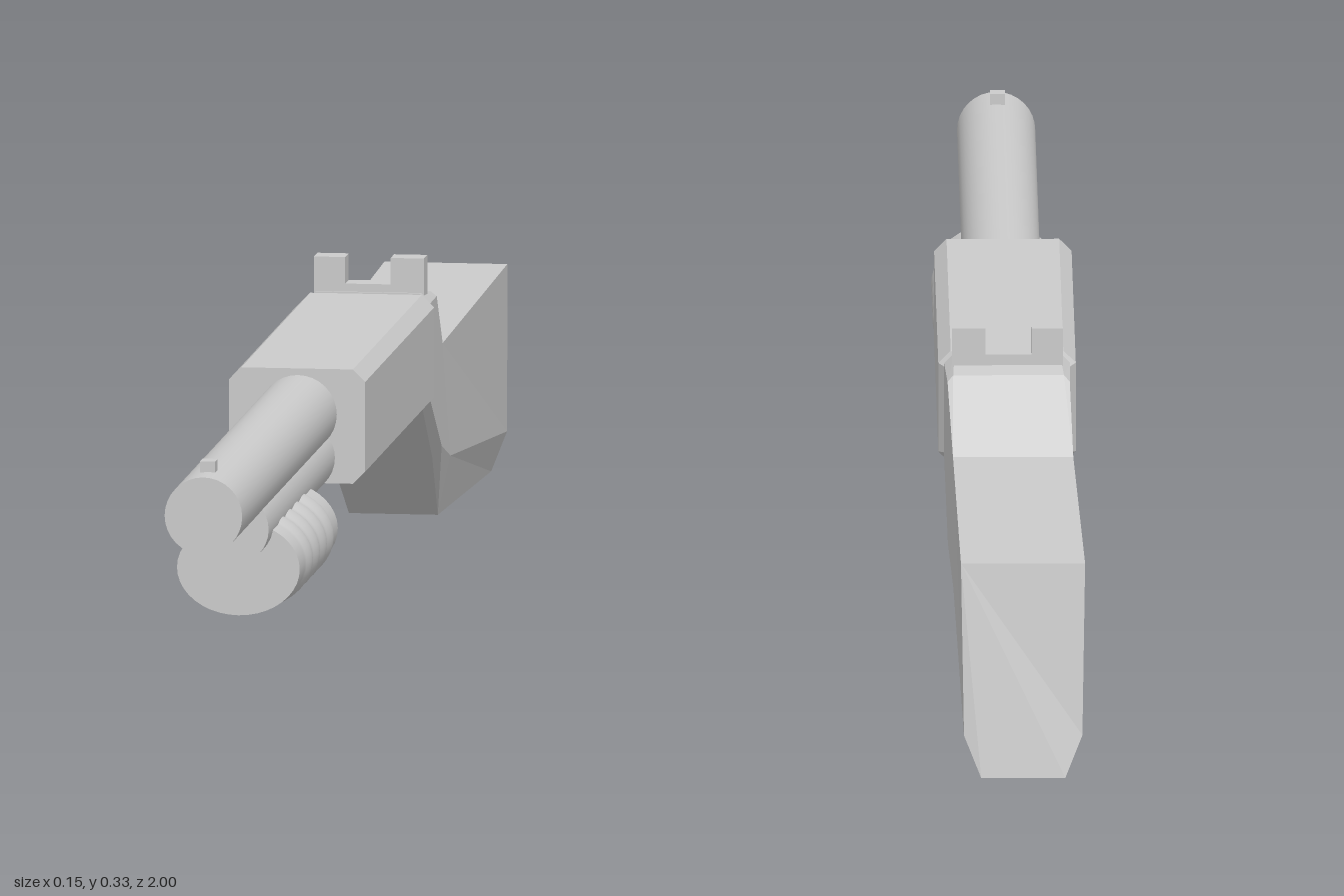
import * as THREE from 'three';

const smooth = new THREE.MeshStandardMaterial({ color: 0xcccccc });
const flat = new THREE.MeshStandardMaterial({ color: 0xcccccc, flatShading: true });

function add(group, name, geometry, material = flat) {
  const mesh = new THREE.Mesh(geometry, material);
  mesh.name = name;
  group.add(mesh);
  return mesh;
}

function box(group, name, x0, x1, y0, y1, z0, z1) {
  const g = new THREE.BoxGeometry(x1 - x0, y1 - y0, z1 - z0);
  add(group, name, g).position.set((x0 + x1) / 2, (y0 + y1) / 2, (z0 + z1) / 2);
}

function rod(group, name, r, x, y, z0, z1) {
  const g = new THREE.CylinderGeometry(r, r, z1 - z0, 32).rotateX(Math.PI / 2);
  add(group, name, g, smooth).position.set(x, y, (z0 + z1) / 2);
}

// Skin over mirrored rings; each section is a centre x and [halfWidth, y, z] points from top to bottom
function loft(sections) {
  const rings = sections.map(({ cx, pts }) => [
    ...pts.map(([w, y, z]) => [cx + w, y, z]),
    ...[...pts].reverse().map(([w, y, z]) => [cx - w, y, z]),
  ]);
  const n = rings[0].length;
  const index = [];
  for (let s = 0; s < rings.length - 1; s++) {
    for (let i = 0; i < n; i++) {
      const a = s * n + i, b = s * n + (i + 1) % n;
      index.push(a, b, b + n, a, b + n, a + n);
    }
  }
  const last = (rings.length - 1) * n;
  for (let i = 1; i < n - 1; i++) {
    index.push(0, i + 1, i, last, last + i, last + i + 1);
  }
  const g = new THREE.BufferGeometry();
  g.setAttribute('position', new THREE.Float32BufferAttribute(rings.flat(2), 3));
  g.setIndex(index);
  g.computeVertexNormals();
  return g;
}

// Eight-sided section standing upright at z
const upright = (z, w, y0, y1, c) => ({
  cx: 0.001,
  pts: [[w - c, y1, z], [w, y1 - c, z], [w, y0 + c, z], [w - c, y0, z]],
});

export function createModel() {
  const model = new THREE.Group();
  model.name = 'model';

  // Barrel and the tube beneath it
  rod(model, 'barrel', 0.041, 0.002, 0.248, 0.25, 1);
  rod(model, 'lowerTube', 0.038, 0.003, 0.202, 0.25, 0.78);
  box(model, 'frontSight', -0.007, 0.009, 0.28, 0.3, 0.94, 0.96);

  // Oval ribbed sliding grip
  const z0 = 0.447, z1 = 0.743, end = 0.04;
  const profile = [new THREE.Vector2(0, z0), new THREE.Vector2(0.94, z0), new THREE.Vector2(0.94, z0)];
  for (let i = 0; i <= 40; i++) {
    const t = i / 40;
    const r = 0.94 + 0.06 * Math.abs(Math.sin(t * Math.PI * 4));
    profile.push(new THREE.Vector2(r, z0 + end + t * (z1 - z0 - 2 * end)));
  }
  profile.push(new THREE.Vector2(0.94, z1), new THREE.Vector2(0.94, z1), new THREE.Vector2(0, z1));
  const grip = new THREE.LatheGeometry(profile, 40).rotateX(Math.PI / 2).scale(0.069, 0.053, 1);
  add(model, 'slidingGrip', grip, smooth).position.set(0.004, 0.155, 0);

  // Bevelled receiver, narrowing at the rear
  add(model, 'receiver', loft([
    upright(0.265, 0.072, 0.175, 0.296, 0.013),
    upright(-0.27, 0.072, 0.175, 0.296, 0.013),
    upright(-0.285, 0.064, 0.178, 0.293, 0.012),
  ]));

  // Rear sight: a low bar with two posts
  box(model, 'rearSightBase', -0.057, 0.059, 0.285, 0.303, -0.32, -0.293);
  box(model, 'rearSightPost', -0.057, -0.024, 0.285, 0.331, -0.32, -0.293);
  box(model, 'rearSightPost', 0.024, 0.059, 0.285, 0.331, -0.32, -0.293);

  // Stock, drifting slightly to one side towards the butt
  add(model, 'stock', loft([
    { cx: 0.001, pts: [[0.055, 0.296, -0.28], [0.066, 0.285, -0.28], [0.066, 0.186, -0.28], [0.058, 0.176, -0.28]] },
    { cx: 0, pts: [[0.058, 0.288, -0.352], [0.064, 0.282, -0.357], [0.064, 0.118, -0.395], [0.054, 0.106, -0.395]] },
    { cx: -0.004, pts: [[0.063, 0.22, -0.44], [0.063, 0.22, -0.44], [0.063, 0.092, -0.5], [0.047, 0.026, -0.52]] },
    { cx: -0.01, pts: [[0.065, 0.225, -0.972], [0.065, 0.225, -0.972], [0.062, 0.045, -0.992], [0.044, 0.001, -1]] },
  ]));

  return model;
}
